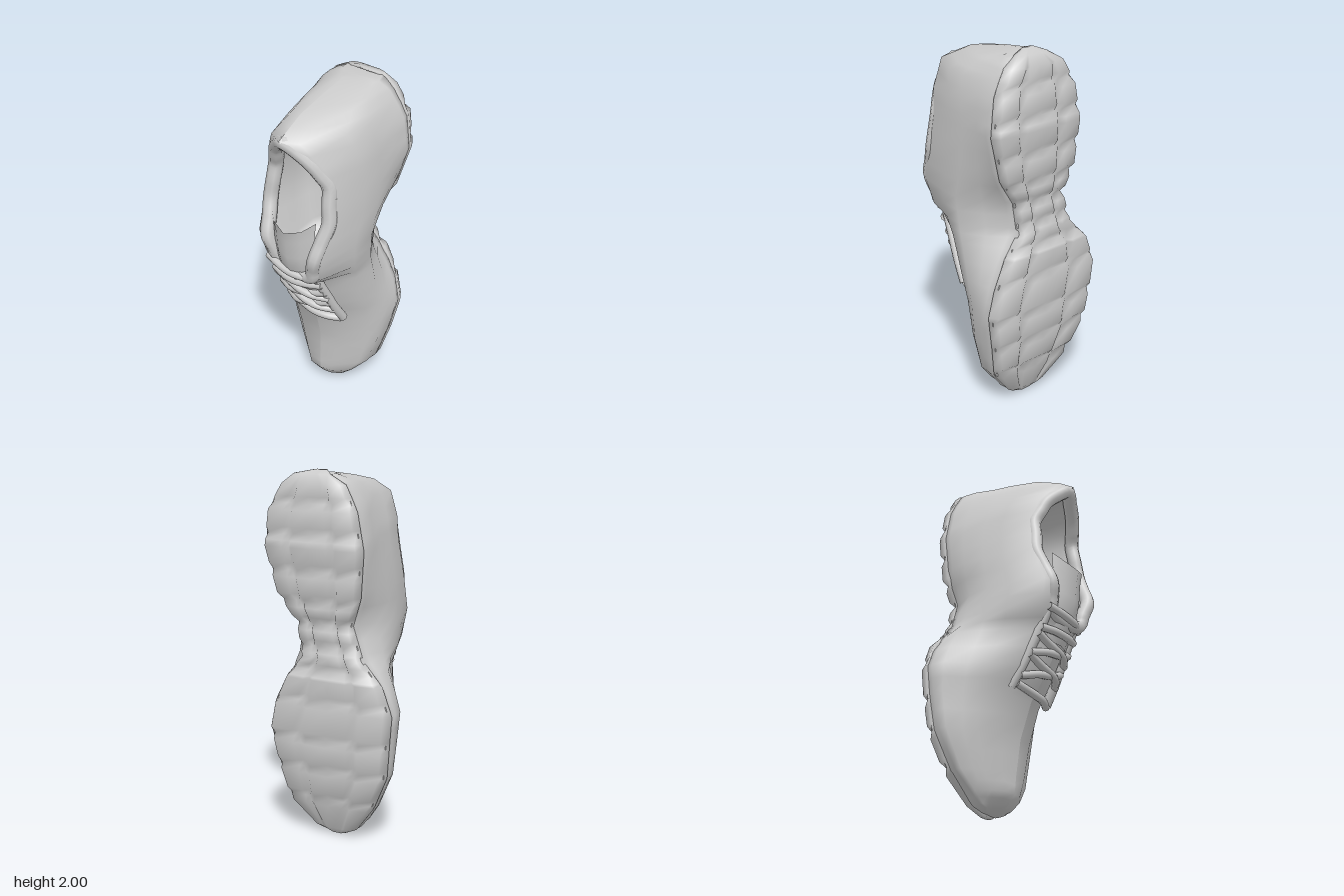
import * as THREE from 'three';

const material = new THREE.MeshStandardMaterial({ color: 0xcccccc, side: THREE.DoubleSide });
const { lerp, smoothstep } = THREE.MathUtils;

// height, right-hand edge (-x), left-hand edge (+x), crown z, half width of the opening
const UPPER = [
  [0.01, -0.03, 0.06, -0.12, 0], [0.04, -0.09, 0.12, -0.05, 0], [0.1, -0.16, 0.18, -0.005, 0],
  [0.2, -0.23, 0.265, 0, 0], [0.4, -0.325, 0.325, 0.02, 0], [0.6, -0.355, 0.335, 0.08, 0],
  [0.75, -0.365, 0.335, 0.17, 0], [0.95, -0.3, 0.335, 0.27, 0], [1.05, -0.28, 0.335, 0.32, 0.12],
  [1.2, -0.255, 0.345, 0.355, 0.165], [1.4, -0.235, 0.35, 0.28, 0.2], [1.6, -0.21, 0.345, 0.255, 0.18],
  [1.72, -0.19, 0.335, 0.3, 0.13], [1.85, -0.15, 0.3, 0.375, 0], [1.925, -0.1, 0.25, 0.2, 0],
  [1.96, -0.05, 0.21, 0, 0], [1.98, 0, 0.15, -0.15, 0],
];
// height, edges in x, bottom z
const SOLE = [
  [0, -0.03, 0.06, -0.2], [0.04, -0.11, 0.14, -0.235], [0.2, -0.24, 0.28, -0.3],
  [0.4, -0.34, 0.33, -0.34], [0.6, -0.365, 0.37, -0.36], [0.75, -0.38, 0.335, -0.365],
  [0.9, -0.32, 0.26, -0.36], [1.02, -0.2, 0.16, -0.345], [1.2, -0.14, 0.19, -0.345],
  [1.35, -0.2, 0.3, -0.37], [1.6, -0.225, 0.37, -0.385], [1.8, -0.185, 0.345, -0.38],
  [1.93, -0.11, 0.265, -0.36], [1.98, -0.02, 0.2, -0.335], [2, 0.03, 0.1, -0.28],
];

// Linear lookup of a table row at height y
function at(table, y) {
  let i = 0;
  while (i < table.length - 2 && table[i + 1][0] < y) i++;
  const a = table[i], b = table[i + 1];
  const t = THREE.MathUtils.clamp((y - a[0]) / (b[0] - a[0]), 0, 1);
  return a.map((v, k) => lerp(v, b[k], t));
}
const crownX = (y) => 0.015 + 0.06 * Math.min(1, y) - 0.025 * smoothstep(y, 1.6, 1.85);

// Skin a list of equal-length rows of [x, y, z]
function loft(rows, wrap = false) {
  const n = rows[0].length, index = [];
  for (let i = 0; i < rows.length - 1; i++) {
    for (let j = 0; j < (wrap ? n : n - 1); j++) {
      const a = i * n + j, b = i * n + ((j + 1) % n), c = b + n, d = a + n;
      index.push(a, b, c, a, c, d);
    }
  }
  const g = new THREE.BufferGeometry();
  g.setAttribute('position', new THREE.Float32BufferAttribute(rows.flat(2), 3));
  g.setIndex(index);
  g.computeVertexNormals();
  return g;
}
// Row shrunk to its middle, used to close an end
function collapse(row) {
  const m = [0, 1, 2].map((k) => row.reduce((s, p) => s + p[k], 0) / row.length);
  return row.map(() => m);
}

// One cross-section of the upper, from the +x rim down and up to the -x rim
function upperSection(y) {
  const [, bl, br, zt, w] = at(UPPER, y);
  const [, sl, sr, zb] = at(SOLE, y);
  const c = crownX(y), base = Math.min(zb + 0.1, zt - 0.02), h = zt - base;
  const side = (s, b, sole, mid) => {
    const r = c + s * w, rimZ = zt + s * Math.min(w, 0.12) * 0.12;
    return [
      [r, y, rimZ],
      [lerp(r, b, 0.4), y, rimZ - 0.07 * h],
      [lerp(r, b, mid), y, zt - 0.4 * h],
      [lerp(r, b, mid + 0.12), y, zt - 0.62 * h],
      [lerp(b, sole, 0.42), y, base + 0.16 * h],
      [lerp(b, sole, 0.92), y, base],
      [lerp((sl + sr) / 2, sole, 0.96), y, zb + 0.045],
    ];
  };
  return [...side(1, br, sr, 0.9), ...side(-1, bl, sl, 0.7).reverse()];
}

function soleGeometry() {
  const grooves = [0.22, 0.4, 0.57, 0.78, 0.95, 1.08, 1.2, 1.32, 1.48, 1.67, 1.83];
  const levels = [...SOLE.map((r) => r[0]).filter((y) => grooves.every((g) => Math.abs(g - y) > 0.035)),
    ...grooves.flatMap((g) => [g - 0.035, g, g + 0.035])];
  const ys = levels.sort((a, b) => a - b);
  const columns = [0.92, 0.55, 0.45, 0.35, 0, -0.35, -0.45, -0.55, -0.92];
  const rows = ys.map((y) => {
    const [, l, r, zb] = at(SOLE, y);
    const c = (l + r) / 2, w = (r - l) / 2, end = Math.min(1, 0.3 + Math.min(y, 2 - y) * 9);
    const cut = grooves.includes(y) ? 0.024 : 0;
    const tread = columns.map((f) => {
      const slot = Math.abs(f) === 0.45 && y > 0.15 && y < 1.87 ? 0.024 : 0;
      const rise = Math.abs(f) > 0.9 ? 0.012 : 0;
      return [c + f * w, y, zb + Math.max(cut, slot) + rise];
    });
    const edge = (s) => [[c + s * w * 0.85, y, zb + 0.11 * end], [c + s * w, y, zb + 0.06 * end]];
    return [...edge(1), ...tread, ...edge(-1).reverse()];
  });
  return loft([collapse(rows[0]), ...rows, collapse(rows.at(-1))], true);
}

// Loop around the foot opening, its +x side a little higher
function rimLoop() {
  const ys = [1.05, 1.12, 1.2, 1.3, 1.4, 1.5, 1.6, 1.67, 1.73, 1.79];
  const side = (s) => ys.map((y) => {
    const [, , , zt, w] = at(UPPER, y);
    return [crownX(y) + s * w, y, zt - 0.034 + s * Math.min(w, 0.12) * 0.12];
  });
  return [...side(1), [crownX(1.83), 1.83, 0.335], ...side(-1).reverse()];
}

// Bowl-shaped inside of the shoe
function liningGeometry(rim) {
  // depth, sideways and lengthwise scale
  const steps = [[0, 1, 1], [0.2, 0.88, 0.97], [0.5, 0.82, 0.93], [0.8, 0.68, 0.84], [0.96, 0.42, 0.62]];
  const rows = steps.map(([d, sx, sy]) => rim.map(([x, y, z]) =>
    [0.075 + (x - 0.075) * sx, 1.42 + (y - 1.42) * sy, lerp(z, -0.06, d)]));
  return loft([...rows, collapse(rows.at(-1))], true);
}

// Tongue: arched across, its top edge dipping in the middle
function tongueGeometry() {
  const path = [[0.9, 0.255, 0.1], [1.05, 0.33, 0.115], [1.15, 0.355, 0.125], [1.25, 0.365, 0.135], [1.32, 0.38, 0.145]];
  return loft(path.map(([y, z, w], i) => [-1, -0.6, 0, 0.6, 1].map((f) =>
    [0.075 + f * w, y + 0.019 * i * f * f, z - (0.03 + 0.013 * i) * f * f])));
}

function tube(points, radius, closed = false) {
  const curve = new THREE.CatmullRomCurve3(points.map((p) => new THREE.Vector3(...p)), closed);
  return new THREE.TubeGeometry(curve, points.length * 4, radius, 8, closed);
}

export function createModel() {
  const shoe = new THREE.Group();
  shoe.name = 'shoe';
  const add = (name, geometry, parent = shoe) => {
    const mesh = new THREE.Mesh(geometry, material);
    mesh.name = name;
    parent.add(mesh);
  };

  // Upper with its heel and toe closed
  const ys = UPPER.flatMap((r, i) => (i ? [(r[0] + UPPER[i - 1][0]) / 2, r[0]] : [r[0]]));
  const sections = ys.map(upperSection);
  add('upper', loft([collapse(sections[0]), ...sections, collapse(sections.at(-1))]));
  add('treadedSole', soleGeometry());

  // Collar, lining and tongue
  const rim = rimLoop();
  add('paddedCollar', tube(rim, 0.04, true));
  add('lining', liningGeometry(rim));
  add('tongue', tongueGeometry());

  // Lacing: sunken edge bands and crossing strands
  const laces = new THREE.Group();
  laces.name = 'lacing';
  shoe.add(laces);
  const crown = (y) => at(UPPER, y)[3];
  for (const s of [-1, 1]) {
    add('eyeletBand', tube([0.64, 0.75, 0.86, 0.96, 1.06].map((y) =>
      [0.06 + s * (0.17 - 0.1 * (y - 0.64)), y, crown(y) - 0.045 + s * 0.005]), 0.026), laces);
  }
  const strands = [[0.66, 0.63], [0.7, 0.8], [0.81, 0.73], [0.82, 0.9], [0.92, 0.84], [0.95, 0.97], [1.06, 1.03]];
  for (const [y0, y1] of strands) {
    const ym = (y0 + y1) / 2 - 0.01;
    add('lace', tube([
      [-0.1, y0, crown(y0) - 0.03], [-0.01, lerp(y0, ym, 0.6), crown(ym) + 0.002], [0.065, ym, crown(ym) + 0.01],
      [0.14, lerp(y1, ym, 0.6), crown(ym) + 0.002], [0.22, y1, crown(y1) - 0.03],
    ], 0.022), laces);
  }
  return shoe;
}
